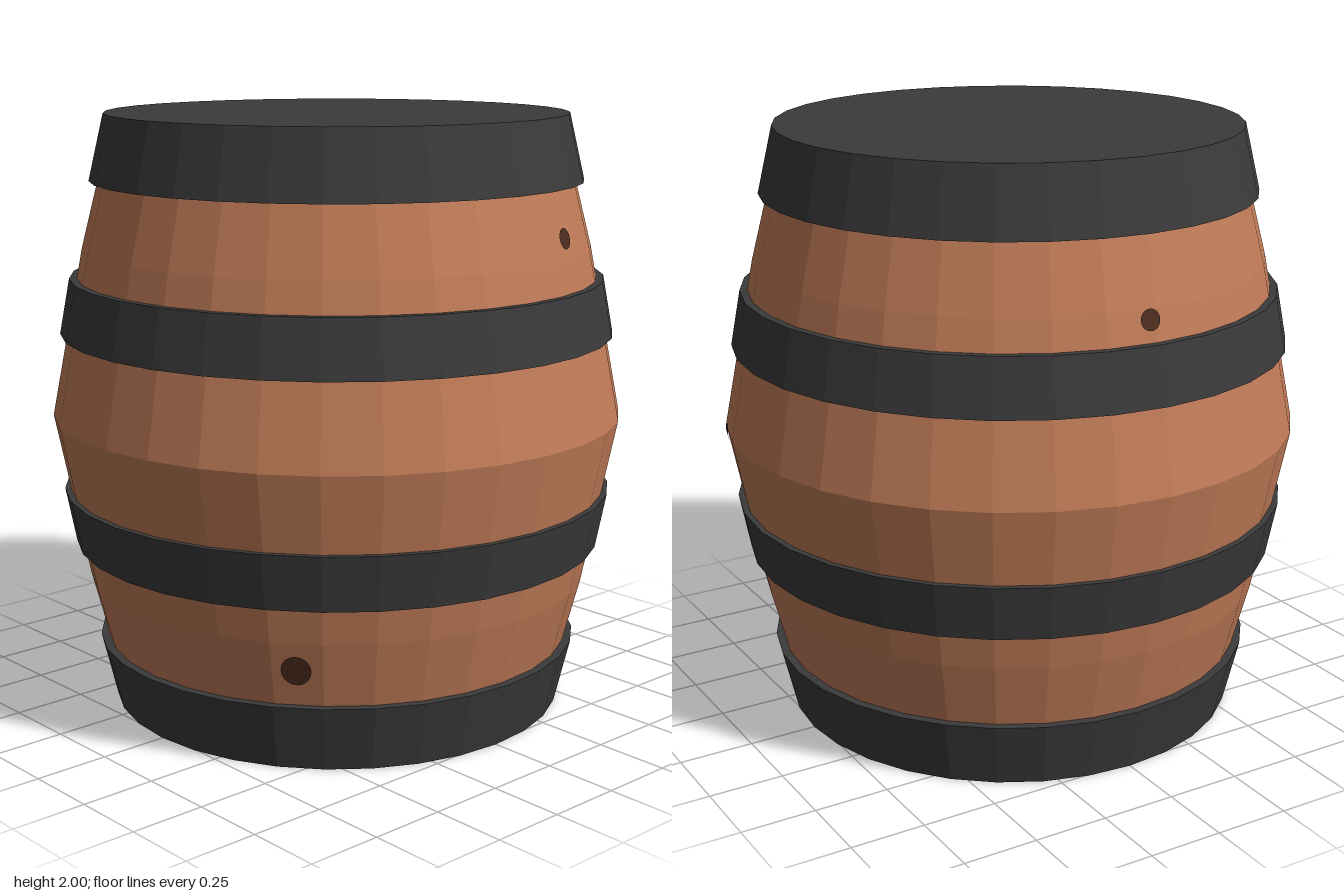
import * as THREE from 'three';

const SIDES = 32;

// Wooden side from bottom to top: [radius, height]
const STAVES = [[0.742, 0.02], [0.85, 0.44], [0.96, 1], [0.85, 1.56], [0.742, 1.98]];

function staveRadius(y) {
  for (let i = 1; i < STAVES.length; i++) {
    const [r0, y0] = STAVES[i - 1], [r1, y1] = STAVES[i];
    if (y <= y1) return THREE.MathUtils.lerp(r0, r1, (y - y0) / (y1 - y0));
  }
  return STAVES[STAVES.length - 1][0];
}

function lathe(name, profile, material) {
  const points = profile.map(([r, y]) => new THREE.Vector2(r, y));
  const mesh = new THREE.Mesh(new THREE.LatheGeometry(points, SIDES), material);
  mesh.name = name;
  return mesh;
}

// Thin oval wrapped onto the faceted side of the barrel
function knot(angle, y, halfWidth, halfHeight, material) {
  const geometry = new THREE.RingGeometry(0.001, 1, 20, 4);
  const p = geometry.attributes.position;
  const step = (Math.PI * 2) / SIDES;
  const centreRadius = staveRadius(y);
  for (let i = 0; i < p.count; i++) {
    const a = angle + (p.getX(i) * halfWidth) / centreRadius;
    const h = y + p.getY(i) * halfHeight;
    const fromFacet = a - (Math.floor(a / step) + 0.5) * step;
    const r = (staveRadius(h) * Math.cos(step / 2)) / Math.cos(fromFacet) + 0.005;
    p.setXYZ(i, Math.sin(a) * r, h, Math.cos(a) * r);
  }
  geometry.computeVertexNormals();
  const mesh = new THREE.Mesh(geometry, material);
  mesh.name = 'woodKnot';
  return mesh;
}

export function createModel() {
  const wood = new THREE.MeshStandardMaterial({ name: 'wood', color: 0xc17c58, flatShading: true });
  const iron = new THREE.MeshStandardMaterial({ name: 'darkIron', color: 0x3a3a3a, flatShading: true });
  const knotWood = new THREE.MeshStandardMaterial({ name: 'knotWood', color: 0x4d2d20, flatShading: true });

  const barrel = new THREE.Group();
  barrel.name = 'barrel';
  barrel.add(lathe('staves', STAVES, wood));

  // Closed end caps with their rims
  barrel.add(lathe('bottomCap', [[0, 0], [0.77, 0], [0.822, 0.22], [0.78, 0.22]], iron));
  barrel.add(lathe('topCap', [[0.78, 1.78], [0.822, 1.78], [0.77, 2], [0, 2]], iron));

  // Hoops around the belly
  barrel.add(lathe('lowerHoop', [[0.85, 0.56], [0.895, 0.56], [0.93, 0.745], [0.88, 0.745]], iron));
  barrel.add(lathe('upperHoop', [[0.88, 1.275], [0.93, 1.275], [0.895, 1.46], [0.85, 1.46]], iron));

  // Knots: position around the barrel (x, z), height, half width, half height
  const knots = [
    [0.525, 0.645, 0.345, 0.048, 0.051],
    [0.795, -0.24, 1.63, 0.037, 0.033],
    [0.3, -0.905, 0.995, 0.038, 0.027],
    [-0.86, -0.025, 1.53, 0.033, 0.033],
  ];
  for (const [x, z, y, w, h] of knots) barrel.add(knot(Math.atan2(x, z), y, w, h, knotWood));

  return barrel;
}
